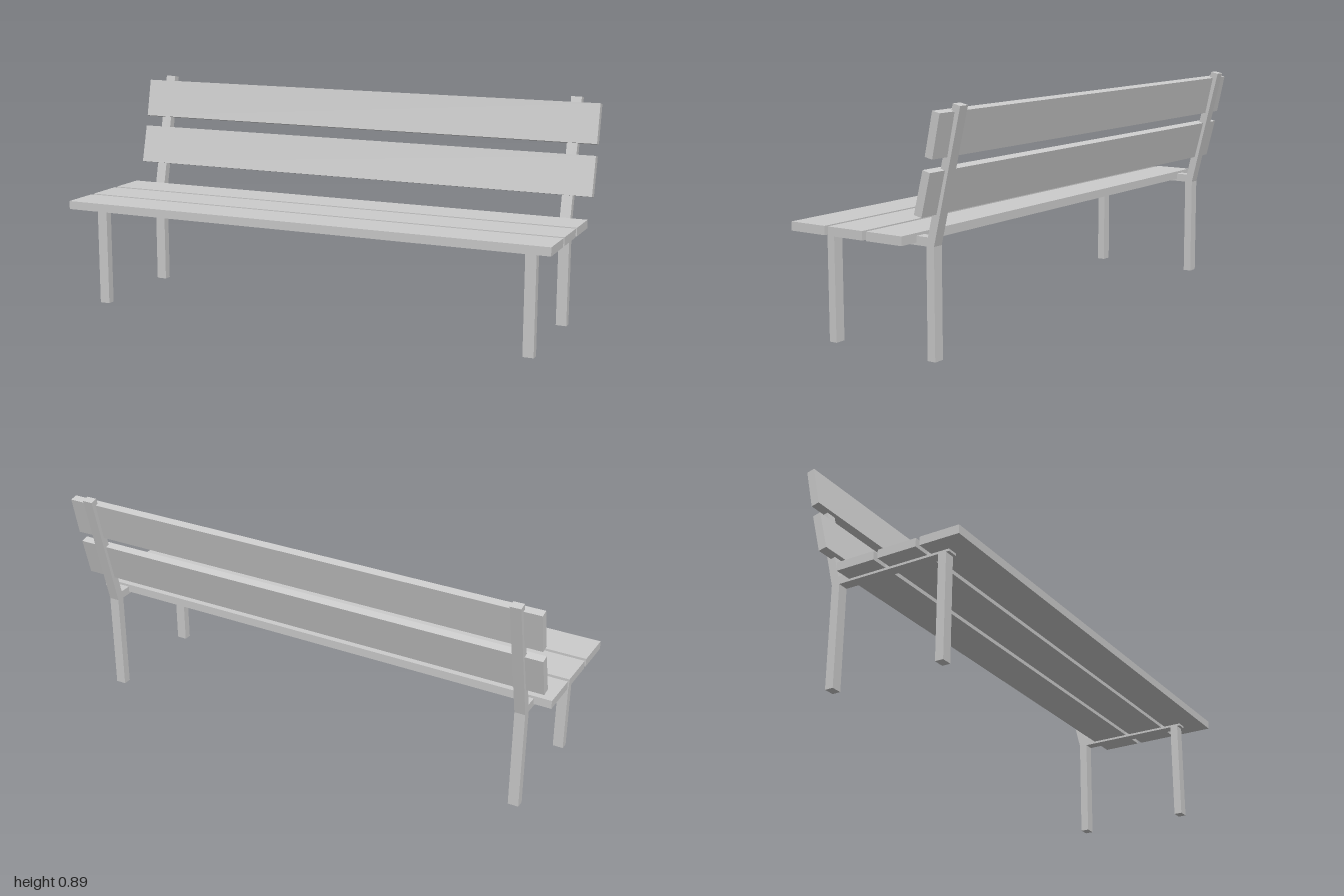
import * as THREE from 'three';

const material = new THREE.MeshStandardMaterial({ color: 0xcccccc, flatShading: true });

// Side profile given as [z, y] points, extruded along x and centred on xCentre
function profilePart(name, points, width, xCentre) {
  const shape = new THREE.Shape(points.map(([z, y]) => new THREE.Vector2(-z, y)));
  const geometry = new THREE.ExtrudeGeometry(shape, { depth: width, bevelEnabled: false });
  geometry.rotateY(Math.PI / 2).translate(xCentre - width / 2, 0, 0);
  const mesh = new THREE.Mesh(geometry, material);
  mesh.name = name;
  return mesh;
}

// Rectangle in the side plane
const rect = (zFront, zBack, yLow, yHigh) =>
  [[zFront, yLow], [zBack, yLow], [zBack, yHigh], [zFront, yHigh]];

export function createModel() {
  const bench = new THREE.Group();
  bench.name = 'bench';

  // Two end frames: front leg, seat rail and a bent rear post
  for (const [side, x] of [['right', -0.91], ['left', 0.9]]) {
    const frame = new THREE.Group();
    frame.name = side + 'Frame';
    frame.add(
      profilePart('frontLeg', rect(0.253, 0.221, 0, 0.4), 0.042, x),
      profilePart('seatRail', rect(0.265, -0.205, 0.398, 0.43), 0.042, x),
      profilePart('rearPost', [
        [-0.198, 0], [-0.231, 0], [-0.231, 0.4],
        [-0.347, 0.88], [-0.316, 0.887], [-0.198, 0.4],
      ], 0.042, x),
    );
    bench.add(frame);
  }

  // Three seat slats
  [[0.35, 0.192], [0.176, 0.018], [0.001, -0.156]].forEach(([front, back], i) =>
    bench.add(profilePart('seatSlat' + (i + 1), rect(front, back, 0.407, 0.44), 2, 0)));

  // Two tilted backrest slats let into the posts
  bench.add(
    profilePart('lowerBackSlat',
      [[-0.211, 0.518], [-0.243, 0.511], [-0.281, 0.663], [-0.25, 0.671]], 2, 0),
    profilePart('upperBackSlat',
      [[-0.26, 0.715], [-0.291, 0.708], [-0.324, 0.861], [-0.293, 0.868]], 2, 0),
  );
  return bench;
}
